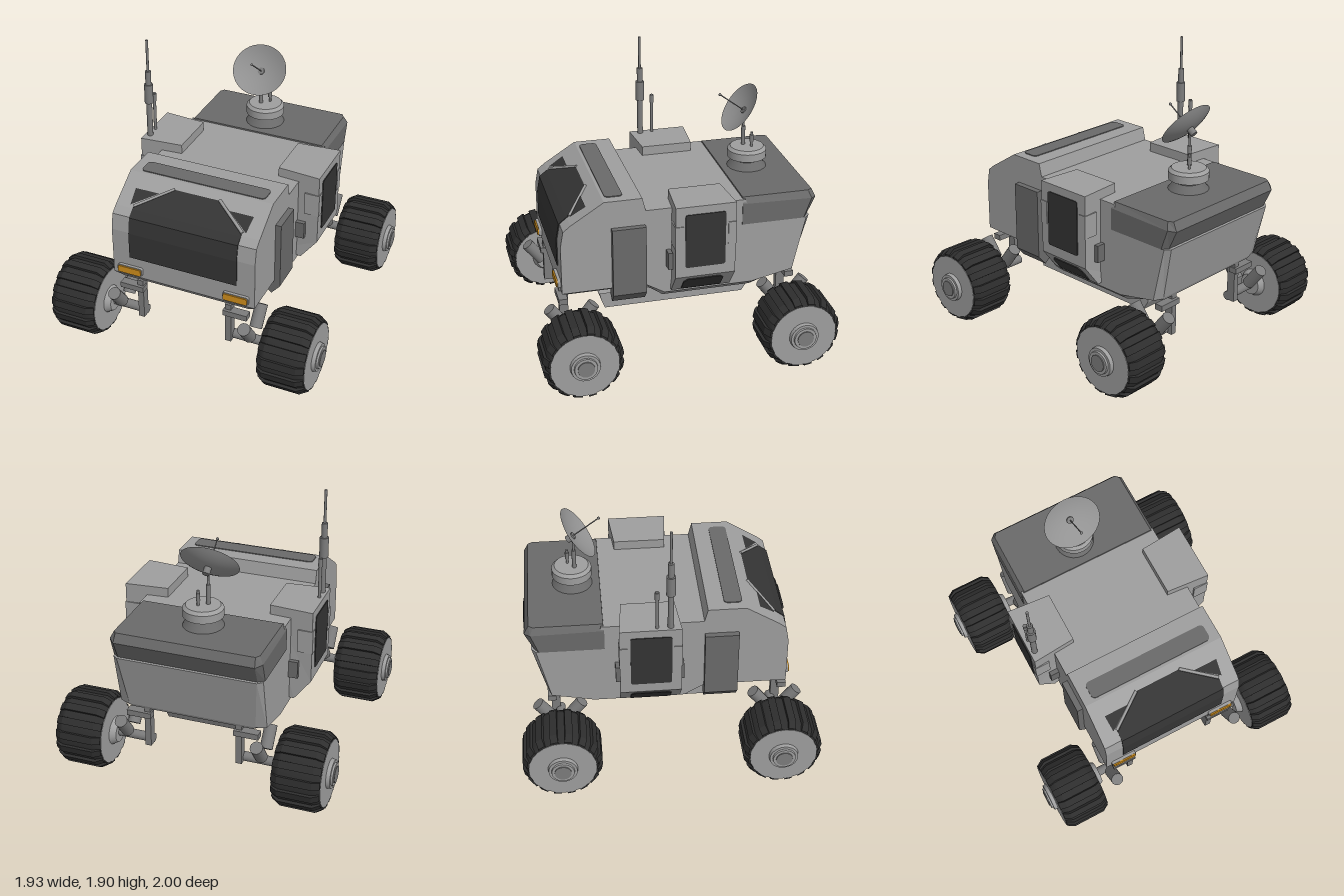
import * as THREE from 'three';

const mat = (name, color, double) => {
  const m = new THREE.MeshStandardMaterial({ color });
  m.name = name;
  if (double) m.side = THREE.DoubleSide;
  return m;
};

// Loft through mirrored sections, front to back; a section lists [halfWidth, y, z] from top to bottom
function loft(sections) {
  const pos = [];
  const quad = (a, b, c, d) => pos.push(...a, ...b, ...c, ...a, ...c, ...d);
  const left = ([x, y, z]) => [-x, y, z];
  const rings = sections.map(s => [...s, ...s.slice().reverse().map(left)]);
  for (let k = 0; k < rings.length - 1; k++) {
    const f = rings[k], b = rings[k + 1];
    f.forEach((p, i) => {
      const j = (i + 1) % f.length;
      quad(p, f[j], b[j], b[i]);
    });
  }
  const first = sections[0], last = sections[sections.length - 1];
  for (let i = 0; i < first.length - 1; i++) {
    quad(left(first[i]), left(first[i + 1]), first[i + 1], first[i]);
    quad(last[i], last[i + 1], left(last[i + 1]), left(last[i]));
  }
  const g = new THREE.BufferGeometry();
  g.setAttribute('position', new THREE.Float32BufferAttribute(pos, 3));
  g.computeVertexNormals();
  return g;
}

const shapeOf = pts => new THREE.Shape(pts.map(p => new THREE.Vector2(...p)));
const extrude = (pts, depth) => new THREE.ExtrudeGeometry(shapeOf(pts), { depth, bevelEnabled: false });

function roundedRect(w, h, r) {
  const s = new THREE.Shape(), x = w / 2, y = h / 2;
  s.absarc(x - r, y - r, r, 0, Math.PI / 2);
  s.absarc(-x + r, y - r, r, Math.PI / 2, Math.PI);
  s.absarc(-x + r, -y + r, r, Math.PI, Math.PI * 1.5);
  s.absarc(x - r, -y + r, r, Math.PI * 1.5, Math.PI * 2);
  return s;
}
const plate = (w, h, r, depth) => new THREE.ExtrudeGeometry(roundedRect(w, h, r), { depth, bevelEnabled: false, curveSegments: 5 });

export function createModel() {
  const body = mat('body grey', 0x9e9e9e);
  const dark = mat('dark grey', 0x6a6a6a);
  const metal = mat('metal grey', 0x7c7c7c);
  const glass = mat('dark glass', 0x343434, true);
  const rubber = mat('tyre rubber', 0x2e2e2e);
  const amber = mat('amber lamp', 0xd08f1c);
  const dishGrey = mat('dish grey', 0x929292, true);

  const root = new THREE.Group();
  root.name = 'rover';
  const add = (name, geo, m, x = 0, y = 0, z = 0, parent = root) => {
    const mesh = new THREE.Mesh(geo, m);
    mesh.name = name;
    mesh.position.set(x, y, z);
    parent.add(mesh);
    return mesh;
  };
  const box = (name, m, w, h, d, x, y, z) => add(name, new THREE.BoxGeometry(w, h, d), m, x, y, z);
  const cyl = (name, m, r0, r1, y0, y1, x, z, parent = root) =>
    add(name, new THREE.CylinderGeometry(r1, r0, y1 - y0, 24), m, x, (y0 + y1) / 2, z, parent);
  const rod = (name, m, r, a, b, sides = 16) => {
    const p = new THREE.Vector3(...a), q = new THREE.Vector3(...b), d = q.clone().sub(p);
    const mesh = add(name, new THREE.CylinderGeometry(r, r, d.length(), sides), m);
    mesh.position.copy(p.add(q).multiplyScalar(0.5));
    mesh.quaternion.setFromUnitVectors(new THREE.Vector3(0, 1, 0), d.normalize());
    return mesh;
  };

  // Hull with raised cab and chamfered underside
  const st = (z, top, edge, bottom, zb = z) => [[0.51, top, z], [0.51, edge, z], [0.45, bottom, zb]];
  add('hull', loft([
    st(0.80, 0.91, 0.57, 0.53, 0.77), st(0.78, 1.02, 0.57, 0.53, 0.76), st(0.73, 1.06, 0.57, 0.53),
    st(0.51, 1.20, 0.57, 0.53), st(0.257, 1.20, 0.57, 0.53), st(0.235, 1.11, 0.565, 0.53),
    st(0.11, 1.11, 0.49, 0.44), st(-0.44, 1.11, 0.49, 0.44), st(-0.50, 0.93, 0.49, 0.44),
    [[0.51, 0.93, -0.87], [0.51, 0.55, -0.785], [0.45, 0.53, -0.77]],
    [[0.475, 0.93, -0.90], [0.44, 0.55, -0.81], [0.42, 0.53, -0.80]],
  ]), body);

  // Dark rear deck
  add('rearDeck', loft([
    [[0.49, 1.12, -0.425], [0.515, 1.08, -0.42], [0.515, 0.93, -0.42]],
    [[0.49, 1.12, -0.88], [0.515, 1.07, -0.90], [0.515, 0.93, -0.85]],
    [[0.47, 1.12, -0.91], [0.475, 1.06, -0.94], [0.475, 0.93, -0.88]],
  ]), dark);

  // Belly tub between the axles
  const tub = [[0.38, 0.46], [0.295, 0.41], [0.295, 0.365], [0.295, 0.30]];
  const tubEnd = zs => tub.map(([x, y], i) => [x, y, zs[i]]);
  add('bellyTub', loft([tubEnd([0.53, 0.51, 0.50, 0.475]), tubEnd([-0.60, -0.55, -0.54, -0.50])]), body);

  // Windshield wrapped over the nose, with corner windows and slanted frame bars
  const wind = [[0.155, 1.165, 0.565], [0.385, 1.065, 0.722], [0.385, 1.06, 0.73],
    [0.385, 1.02, 0.78], [0.385, 0.91, 0.80], [0.385, 0.72, 0.80]];
  const shift = d => wind.map(([x, y, z]) => [x, y, z + d]);
  add('windshield', loft([shift(0.007), shift(-0.002)]), glass);
  const slopeZ = y => 0.73 - (y - 1.06) * 1.571;
  for (const s of [1, -1]) {
    const g = new THREE.ShapeGeometry(shapeOf([[0.42 * s, 1.14], [0.25 * s, 1.14], [0.41 * s, 1.075]]));
    const p = g.attributes.position;
    for (let i = 0; i < p.count; i++) p.setZ(i, slopeZ(p.getY(i)) + 0.008);
    g.computeVertexNormals();
    add('cornerWindow', g, glass);
    rod('windowFrame', body, 0.011, [0.385 * s, 1.07, slopeZ(1.07)], [0.16 * s, 1.167, slopeZ(1.167)], 6);
    // Headlights
    add('headlightFrame', plate(0.18, 0.06, 0.015, 0.02), body, 0.382 * s, 0.623, 0.80);
    add('headlight', plate(0.168, 0.048, 0.012, 0.009), amber, 0.382 * s, 0.623, 0.82);
  }

  // Roof strip
  add('roofStrip', plate(0.885, 0.12, 0.03, 0.006), dark, 0, 1.2, 0.43).rotation.x = -Math.PI / 2;

  for (const s of [1, -1]) {
    // Dark side panel behind the cab front
    add('sidePanel', extrude([[0.48, 1.01], [0.55, 1.01], [0.55, 0.53], [0.49, 0.46], [0.44, 0.50]]
      .map(([x, y]) => [x * s, y]), 0.225), dark, 0, 0, 0.24);

    // Side door pod with cut inner corners
    const pod = extrude([[0.36, 1.175], [0.66, 1.175], [0.66, 0.67], [0.545, 0.52], [0.36, 0.52]]
      .map(([x, y]) => [x * s, y]), 0.405);
    const pp = pod.attributes.position;
    for (let i = 0; i < pp.count; i++)
      if (Math.abs(pp.getX(i)) < 0.4) pp.setZ(i, pp.getZ(i) < 0.2 ? 0.025 : 0.38);
    pod.computeVertexNormals();
    add('doorPod', pod, body, 0, 0, -0.33);
    add('doorWindow', plate(0.27, 0.38, 0.015, 0.008), glass, 0.658 * s, 0.93, -0.125).rotation.y = s * Math.PI / 2;

    // Lower window lying on the sloped skirt
    const low = extrude([[-0.135, -0.075], [0.135, -0.075], [0.135, 0.03], [0.11, 0.062], [-0.11, 0.062], [-0.135, 0.03]], 0.008);
    low.rotateY(s * Math.PI / 2);
    low.rotateZ(-s * Math.atan2(0.115, 0.15));
    add('lowerWindow', low, glass, 0.6015 * s, 0.596, -0.125);

    // Corner grips and hinge blocks
    for (const z of [0.051, -0.306]) box('cornerGrip', body, 0.105, 0.16, 0.055, 0.613 * s, 0.96, z);
    for (const z of [0.085, -0.34]) box('hingeBlock', dark, 0.065, 0.12, 0.03, 0.54 * s, 0.75, z);
  }

  // Wheels and suspension
  const tyreGeo = new THREE.LatheGeometry([[0.18, -0.16], [0.226, -0.16], [0.247, -0.11], [0.247, 0.11], [0.226, 0.16], [0.18, 0.16]]
    .map(p => new THREE.Vector2(...p)), 48);
  const lugGeo = extrude([[0.2, -0.162], [0.236, -0.162], [0.265, -0.115], [0.265, 0.115], [0.236, 0.162], [0.2, 0.162]], 0.05);
  lugGeo.translate(0, 0, -0.025);
  for (const s of [1, -1]) for (const f of [1, -1]) {
    const z = 0.735 * f, wheel = new THREE.Group();
    wheel.name = 'wheel';
    wheel.position.set(0.757 * s, 0.265, z);
    wheel.rotation.z = -s * Math.PI / 2;
    root.add(wheel);
    add('tyre', tyreGeo, rubber, 0, 0, 0, wheel);
    for (let i = 0; i < 16; i++)
      add('treadLug', lugGeo, rubber, 0, 0, 0, wheel).rotation.y = (i + 0.5) * Math.PI / 8;
    cyl('rim', body, 0.224, 0.224, -0.164, 0.164, 0, 0, wheel);
    cyl('hubRing', body, 0.1, 0.095, 0.16, 0.19, 0, 0, wheel);
    cyl('hubStep', body, 0.078, 0.075, 0.185, 0.203, 0, 0, wheel);
    cyl('hubCap', metal, 0.058, 0.055, 0.19, 0.209, 0, 0, wheel);
    cyl('innerHub', body, 0.075, 0.1, -0.205, -0.16, 0, 0, wheel);

    rod('axle', metal, 0.032, [0.30 * s, 0.267, z], [0.60 * s, 0.267, z]);
    box('axleStrut', metal, 0.042, 0.30, 0.06, 0.32 * s, 0.39, z + 0.03 * f);
    box('strutArm', metal, 0.17, 0.04, 0.06, 0.375 * s, 0.48, z + 0.05 * f);
    for (const d of [1, -1])
      rod('shockAbsorber', metal, 0.043, [0.472 * s, 0.32, z + 0.05 * d], [0.472 * s, 0.45, z + 0.15 * d]);
  }

  // Turret and dish on the rear deck
  const tx = -0.013, tz = -0.61;
  cyl('turretSkirt', dark, 0.14, 0.095, 1.115, 1.17, tx, tz);
  cyl('turretNeck', dark, 0.095, 0.095, 1.16, 1.2, tx, tz);
  cyl('turretDrum', body, 0.135, 0.135, 1.19, 1.245, tx, tz);
  cyl('turretCap', body, 0.135, 0.115, 1.245, 1.265, tx, tz);
  cyl('dishMast', metal, 0.014, 0.014, 1.26, 1.4, -0.04, -0.59);
  cyl('dishMastTip', metal, 0.008, 0.008, 1.4, 1.5, -0.04, -0.59);
  cyl('sensorMast', metal, 0.009, 0.009, 1.26, 1.37, 0.012, -0.635);
  cyl('sensorHead', metal, 0.014, 0.014, 1.3, 1.35, 0.012, -0.635);
  const dish = new THREE.Group();
  dish.name = 'dish';
  dish.position.set(-0.04, 1.54, -0.555);
  dish.rotation.x = 0.93;
  root.add(dish);
  const bowl = [];
  for (let i = 0; i <= 8; i++) bowl.push(new THREE.Vector2(0.197 * i / 8, 0.045 * ((i / 8) ** 2 - 1)));
  add('bowl', new THREE.LatheGeometry(bowl, 40), dishGrey, 0, 0, 0, dish).scale.z = 0.92;
  cyl('feedRod', metal, 0.004, 0.004, -0.045, 0.17, 0, 0, dish);
  add('feedTip', new THREE.SphereGeometry(0.01, 10, 8), metal, 0, 0.172, 0, dish);
  cyl('dishMount', metal, 0.024, 0.024, -0.09, -0.035, 0, 0, dish);

  // Antennas on the right-hand pod
  for (const [r, y0, y1] of [[0.02, 1.17, 1.43], [0.03, 1.43, 1.57], [0.02, 1.57, 1.67], [0.009, 1.67, 1.9]])
    cyl('mainAntenna', metal, r, r, y0, y1, -0.625, 0.003);
  cyl('shortAntenna', metal, 0.011, 0.011, 1.17, 1.46, -0.63, -0.085);
  cyl('shortAntennaHead', metal, 0.015, 0.015, 1.4, 1.455, -0.63, -0.085);

  return root;
}
